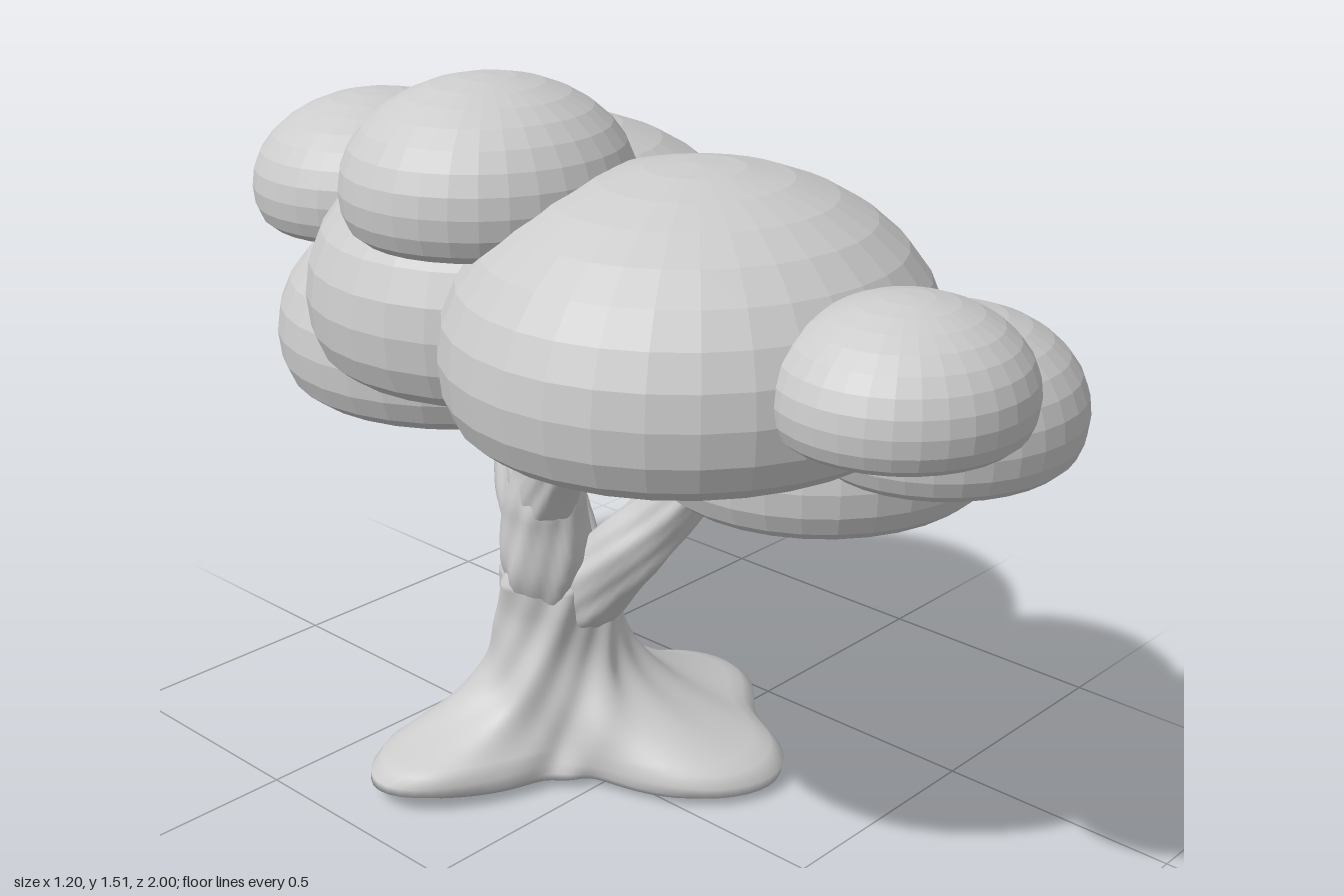
import * as THREE from 'three';

const TAU = Math.PI * 2;
const V = (x, y, z) => new THREE.Vector3(x, y, z);

// Skin a stack of closed rings (each an array of points) into a smooth surface
function loft(rings, material, name) {
  const n = rings[0].length, idx = [];
  for (let i = 0; i < rings.length - 1; i++) {
    for (let j = 0; j < n; j++) {
      const a = i * n + j, b = i * n + (j + 1) % n;
      idx.push(a, a + n, b, b, a + n, b + n);
    }
  }
  const geo = new THREE.BufferGeometry().setFromPoints(rings.flat());
  geo.setIndex(idx);
  geo.computeVertexNormals();
  const mesh = new THREE.Mesh(geo, material);
  mesh.name = name;
  return mesh;
}

// Twisting bark ridges as a radius multiplier
const bark = (a, h) => 1 + 0.04 * Math.sin(6 * a + 18 * h) + 0.025 * Math.sin(11 * a + 34 * h + 1)
  + 0.02 * Math.sin(3 * a - 30 * h);

// Tapering limb along a curve; each point is [x, y, z, radius]
function limb(points, material, name) {
  const curve = new THREE.CatmullRomCurve3(points.map(p => V(p[0], p[1], p[2])));
  const rings = [], steps = 32, sides = 40;
  for (let i = 0; i <= steps; i++) {
    const t = i / steps, c = curve.getPoint(t), T = curve.getTangent(t);
    const N = V(1, 0, 0).addScaledVector(T, -T.x).normalize();
    const B = N.clone().cross(T);
    const k = Math.min(t * (points.length - 1), points.length - 1.001), s = Math.floor(k);
    const r = THREE.MathUtils.lerp(points[s][3], points[s + 1][3], THREE.MathUtils.smoothstep(k - s, 0, 1));
    rings.push(Array.from({ length: sides }, (_, j) => {
      const a = j / sides * TAU, q = r * bark(a, c.y);
      return c.clone().addScaledVector(N, q * Math.cos(a)).addScaledVector(B, q * Math.sin(a));
    }));
  }
  return loft(rings, material, name);
}

// Trunk flaring into spreading roots
function trunk(material) {
  const cx = 0.01, cz = -0.17, sides = 112;
  // root direction (dx, dz) and how far it extends past the trunk
  const roots = [[0.45, 0.1, 0.27], [0.16, 0.44, 0.31], [-0.42, -0.14, 0.25], [0.08, -0.28, 0.14]]
    .map(([x, z, len]) => ({ angle: Math.atan2(z, x), len }));
  const ring = (y, scale, flare) => Array.from({ length: sides }, (_, j) => {
    const a = j / sides * TAU;
    const spread = Math.pow(Math.max(0, 1 - y / 0.36), 1.4);
    const rx = 0.14 + 0.06 * spread, rz = 0.115 + 0.05 * spread;
    let r = rx * rz / Math.hypot(rz * Math.cos(a), rx * Math.sin(a)) * bark(a, y);
    for (const root of roots) {
      const turn = a - root.angle - 1.2 * Math.max(0, y - 0.08);
      r += root.len * flare * Math.pow(Math.max(0, Math.cos(turn)), 6);
    }
    r *= scale;
    const z = cz + r * Math.sin(a);
    return V(cx + r * Math.cos(a), y - Math.max(0, z) * 0.08 * Math.max(0, 1 - y / 0.2), z);
  });
  const rings = [ring(0.004, 0, 0), ring(0.008, 0.5, 0.8), ring(0.025, 0.96, 0.88),
    ring(0.04, 1, 0.97), ring(0.06, 1, 1), ring(0.08, 1, 0.93)];
  for (let i = 1; i <= 35; i++) {
    const y = 0.08 + i * 0.01;
    rings.push(ring(y, 1, 0.93 * Math.pow(Math.max(0, 1 - (y - 0.08) / 0.24), 2.8)));
  }
  rings.push(ring(0.46, 0.88, 0), ring(0.49, 0.65, 0), ring(0.51, 0.35, 0), ring(0.52, 0, 0));
  return loft(rings, material, 'trunkAndRoots');
}

// Unit foliage dome: hollowed underside, rounded rim, elliptical crown, faceted
function domeGeometry() {
  const pts = [[0, 0.14], [0.25, 0.115], [0.48, 0.06], [0.66, 0.015], [0.78, 0], [0.87, 0.015], [0.94, 0.07], [0.985, 0.175]]
    .map(p => new THREE.Vector2(...p));
  for (let i = 0; i <= 8; i++) {
    const a = i / 8 * Math.PI / 2;
    pts.push(new THREE.Vector2(i === 8 ? 0 : Math.cos(a), 0.31 + 0.69 * Math.sin(a)));
  }
  const geo = new THREE.LatheGeometry(pts, 32).toNonIndexed();
  geo.computeVertexNormals();
  return geo;
}

export function createModel() {
  const model = new THREE.Group();
  model.name = 'tree';
  const grey = new THREE.MeshStandardMaterial({ color: 0xcccccc });
  grey.name = 'lightGrey';

  model.add(trunk(grey));

  // Branches reaching into the foliage, each starting buried in its parent
  const limbs = {
    frontBranch: [[0.01, 0.28, -0.16, 0.05], [0.02, 0.4, -0.1, 0.085], [0.04, 0.5, -0.015, 0.075], [0.075, 0.6, 0.065, 0.064], [0.105, 0.7, 0.135, 0.052], [0.17, 0.84, 0.24, 0.042]],
    backBranch: [[0.04, 0.28, -0.17, 0.05], [0.07, 0.4, -0.235, 0.095], [0.1, 0.52, -0.315, 0.09], [0.135, 0.66, -0.41, 0.068], [0.16, 0.84, -0.51, 0.052]],
    middleStem: [[-0.02, 0.34, -0.17, 0.07], [-0.045, 0.48, -0.15, 0.095], [-0.06, 0.6, -0.14, 0.082], [-0.07, 0.7, -0.13, 0.06], [-0.075, 0.76, -0.12, 0.01]],
    forwardFork: [[-0.055, 0.52, -0.16, 0.03], [-0.075, 0.63, -0.115, 0.062], [-0.1, 0.75, -0.05, 0.055], [-0.115, 0.85, -0.005, 0.046], [-0.13, 1.0, 0.06, 0.04]],
    upperFork: [[-0.06, 0.56, -0.14, 0.03], [-0.06, 0.68, -0.115, 0.055], [-0.055, 0.78, -0.105, 0.042], [-0.04, 0.96, -0.16, 0.036]],
    rearFork: [[-0.055, 0.5, -0.14, 0.03], [-0.035, 0.63, -0.19, 0.055], [-0.01, 0.72, -0.25, 0.044], [0.005, 0.8, -0.3, 0.038], [0.02, 0.96, -0.36, 0.032]],
  };
  for (const [name, pts] of Object.entries(limbs)) model.add(limb(pts, grey, name));

  // Foliage domes: centre x, z, bottom y, top y, radius x, radius z
  const domes = {
    frontCrown: [-0.14, 0.32, 0.93, 1.39, 0.462, 0.43],
    middleCrown: [0.035, -0.25, 0.89, 1.363, 0.478, 0.42],
    backCrown: [0.17, -0.59, 0.71, 1.13, 0.43, 0.41],
    lowerFrontCrown: [0.222, 0.335, 0.71, 1.06, 0.357, 0.335],
    frontLeftPuff: [0.148, 0.66, 0.87, 1.145, 0.27, 0.24],
    frontPuff: [-0.167, 0.785, 1.035, 1.265, 0.228, 0.213],
    topPuff: [-0.273, -0.05, 1.23, 1.51, 0.275, 0.257],
    backPuff: [0.025, -0.705, 1.07, 1.345, 0.275, 0.262],
  };
  const dome = domeGeometry();
  for (const [name, [x, z, y0, y1, rx, rz]] of Object.entries(domes)) {
    const mesh = new THREE.Mesh(dome, grey);
    mesh.name = name;
    mesh.position.set(x, y0, z);
    mesh.scale.set(rx, y1 - y0, rz);
    model.add(mesh);
  }
  return model;
}
